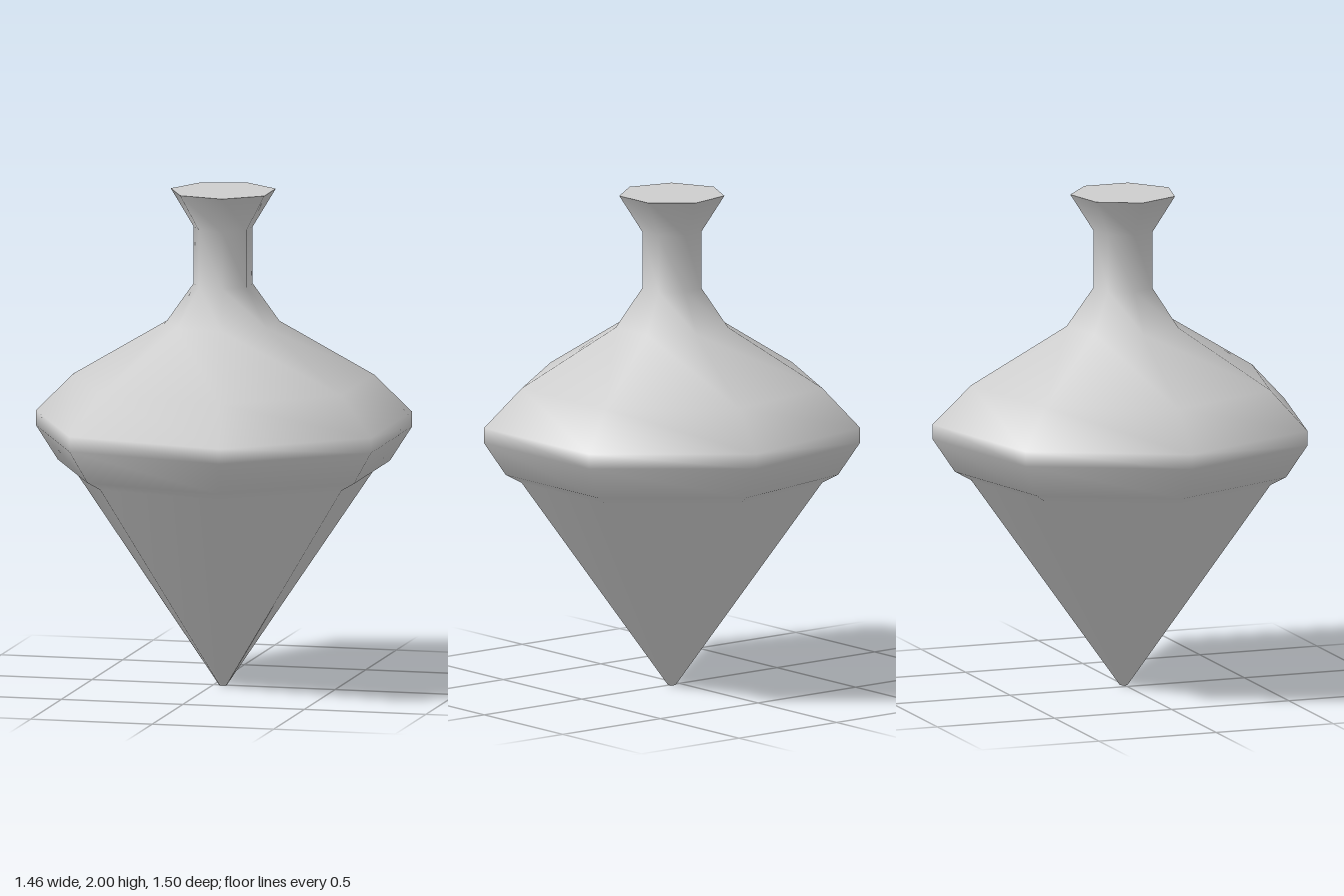
import * as THREE from 'three';

const SIDES = 7;
const OFFSET_X = 0.039; // centres the seven-sided outline on x = 0

// Turned profile as [radius, height], from the tip to the rim
const PROFILE = [
  [0.016, 0], [0.615, 0.85], [0.68, 0.885], [0.77, 1.02], [0.77, 1.08],
  [0.615, 1.235], [0.23, 1.465], [0.121, 1.62], [0.121, 1.85], [0.215, 2],
];

export function createModel() {
  const group = new THREE.Group();
  group.name = 'spinningTop';
  const grey = new THREE.MeshStandardMaterial({ color: 0xcccccc });
  grey.name = 'light grey';

  const add = (name, geometry, y = 0) => {
    const mesh = new THREE.Mesh(geometry, grey);
    mesh.name = name;
    mesh.position.set(OFFSET_X, y, 0);
    group.add(mesh);
  };

  // Smooth-shaded body with one corner pointing to -x
  const points = PROFILE.map(([r, y]) => new THREE.Vector2(r, y));
  add('body', new THREE.LatheGeometry(points, SIDES, -Math.PI / 2));

  // Flat caps
  const cap = (r, tilt) => new THREE.CircleGeometry(r, SIDES, Math.PI).rotateX(tilt);
  add('handleCap', cap(0.215, -Math.PI / 2), 2);
  add('tipCap', cap(0.016, Math.PI / 2), 0);

  return group;
}
